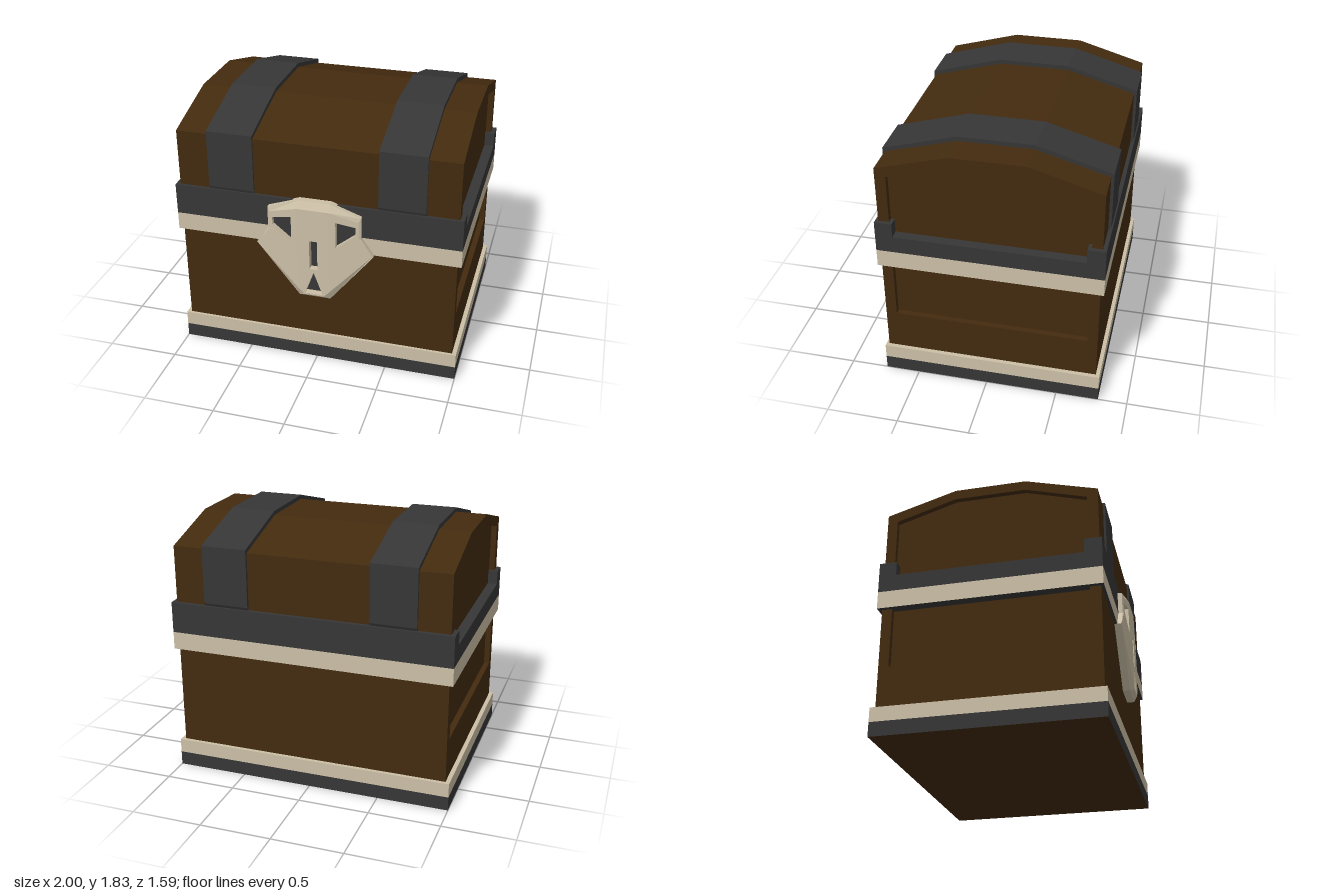
import * as THREE from 'three';

const wood = new THREE.MeshStandardMaterial({ color: 0x432b0f });
wood.name = 'brown wood';
const iron = new THREE.MeshStandardMaterial({ color: 0x363636 });
iron.name = 'dark iron';
const bone = new THREE.MeshStandardMaterial({ color: 0xcbbfa6 });
bone.name = 'pale bone';

const toPoints = (list) => list.map(([a, b]) => new THREE.Vector2(a, b));

function makeShape(outline, holes = []) {
  const shape = new THREE.Shape(toPoints(outline));
  for (const hole of holes) shape.holes.push(new THREE.Path(toPoints(hole)));
  return shape;
}

function add(parent, name, geometry, material) {
  const mesh = new THREE.Mesh(geometry, material);
  mesh.name = name;
  parent.add(mesh);
  return mesh;
}

// Box given by its limits
function block(parent, name, [x0, x1], [y0, y1], [z0, z1], material) {
  const mesh = add(parent, name, new THREE.BoxGeometry(x1 - x0, y1 - y0, z1 - z0), material);
  mesh.position.set((x0 + x1) / 2, (y0 + y1) / 2, (z0 + z1) / 2);
}

// (z, y) profile extruded from x0 to x1
function slab(parent, name, profile, holes, x0, x1, material) {
  const g = new THREE.ExtrudeGeometry(makeShape(profile, holes), { depth: x1 - x0, bevelEnabled: false });
  g.rotateY(-Math.PI / 2).translate(x1, 0, 0);
  return add(parent, name, g, material);
}

// Wooden volume with a sunken panel at each end
function panelledVolume(parent, name, profile, panel) {
  const group = new THREE.Group();
  group.name = name;
  slab(group, name + 'Core', profile, [], -0.93, 0.93, wood);
  slab(group, name + 'LeftFrame', profile, [panel], 0.93, 0.97, wood);
  slab(group, name + 'RightFrame', profile, [panel], -0.97, -0.93, wood);
  parent.add(group);
}

// Flat-faced strip joining two closed rings of 3D points
function ringStrip(a, b) {
  const pos = [];
  a.forEach((p, i) => {
    const j = (i + 1) % a.length;
    for (const q of [p, a[j], b[j], p, b[j], b[i]]) pos.push(...q);
  });
  const g = new THREE.BufferGeometry();
  g.setAttribute('position', new THREE.Float32BufferAttribute(pos, 3));
  g.computeVertexNormals();
  return g;
}

const mirrored = (pts) => pts.map(([x, y]) => [-x, y]).reverse();
const atZ = (pts, z) => pts.map(([x, y]) => [x, y, typeof z === 'function' ? z(x) : z]);

function skullClasp() {
  const group = new THREE.Group();
  group.name = 'skullClasp';
  // The face is flat in the middle and slopes back towards both sides
  const faceZ = (x) => 0.797 - Math.max(0, Math.abs(x) - 0.11) * 0.095;
  const outerHalf = [[0.11, 0.535], [0.13, 0.56], [0.41, 0.915], [0.325, 1.04], [0.325, 1.2], [0.11, 1.275]];
  const innerHalf = [[0.07, 0.56], [0.11, 0.603], [0.4, 0.915], [0.31, 1.05], [0.31, 1.17], [0.11, 1.225]];
  const outer = [...outerHalf, ...mirrored(outerHalf)];
  const inner = [...innerHalf, ...mirrored(innerHalf)];
  const eye = [[0.155, 0.96], [0.29, 1.07], [0.29, 1.13], [0.155, 1.155]];
  const nose = [[-0.028, 0.77], [0.028, 0.77], [0.028, 0.99], [-0.028, 0.99]];
  const mouth = [[-0.063, 0.572], [0.063, 0.572], [0, 0.745]];

  add(group, 'claspSides', ringStrip(atZ(outer, 0.715), atZ(outer, 0.77)), bone);
  add(group, 'claspBevel', ringStrip(atZ(outer, 0.77), atZ(inner, faceZ)), bone);

  // Face plates with openings
  const face = (name, outline, holes) => {
    const g = new THREE.ShapeGeometry(makeShape(outline, holes)).toNonIndexed();
    const p = g.attributes.position;
    for (let i = 0; i < p.count; i++) p.setZ(i, faceZ(p.getX(i)));
    g.computeVertexNormals();
    add(group, name, g, bone);
  };
  const middle = [innerHalf[0], innerHalf[1], innerHalf[5]];
  const cheek = innerHalf.slice(1);
  face('middleFace', [...middle, ...mirrored(middle)], [nose, mouth]);
  face('leftCheek', cheek, [eye]);
  face('rightCheek', mirrored(cheek), [mirrored(eye)]);

  // Walls of the openings and the dark plate behind them
  const openings = { leftEye: eye, rightEye: mirrored(eye), nose, mouth };
  for (const [name, hole] of Object.entries(openings)) {
    add(group, name + 'Wall', ringStrip(atZ(hole, faceZ), atZ(hole, 0.75)), bone);
  }
  const back = add(group, 'socketBacking', new THREE.ShapeGeometry(makeShape(inner)), iron);
  back.position.z = 0.75;
  return group;
}

export function createModel() {
  const chest = new THREE.Group();
  chest.name = 'treasureChest';
  const wide = [-1, 1];
  const deep = [-0.797, 0.74];

  // Wooden body and faceted lid
  panelledVolume(chest, 'body',
    [[-0.77, 0.05], [0.72, 0.05], [0.72, 1], [-0.77, 1]],
    [[-0.7, 0.49], [0.645, 0.49], [0.645, 0.96], [-0.7, 0.96]]);
  panelledVolume(chest, 'lid',
    [[-0.77, 1], [0.72, 1], [0.72, 1.66], [0.22, 1.8], [-0.28, 1.8], [-0.77, 1.66]],
    [[-0.7, 1.1], [0.645, 1.1], [0.645, 1.605], [0.22, 1.73], [-0.28, 1.73], [-0.7, 1.605]]);

  // Base trim, with a wooden underside
  block(chest, 'baseBand', wide, [0, 0.1], deep, [iron, iron, iron, wood, iron, iron]);
  block(chest, 'baseTrim', wide, [0.1, 0.2], deep, bone);

  // Rim trim; the iron band is cut lower along both ends
  block(chest, 'rimTrim', wide, [0.915, 1.04], deep, [bone, bone, bone, iron, bone, bone]);
  block(chest, 'rimBand', wide, [1.04, 1.16], deep, iron);
  block(chest, 'frontRimBand', wide, [1.16, 1.26], [0.62, 0.74], iron);
  block(chest, 'backRimBand', wide, [1.16, 1.26], [-0.797, -0.675], iron);

  // Iron straps over the lid
  const strap = [[-0.77, 1.24], [0.72, 1.24], [0.735, 1.28], [0.735, 1.685], [0.225, 1.83],
    [-0.285, 1.83], [-0.79, 1.685], [-0.79, 1.28]];
  slab(chest, 'leftStrap', strap, [], 0.43, 0.75, iron);
  slab(chest, 'rightStrap', strap, [], -0.75, -0.43, iron);

  chest.add(skullClasp());
  return chest;
}
